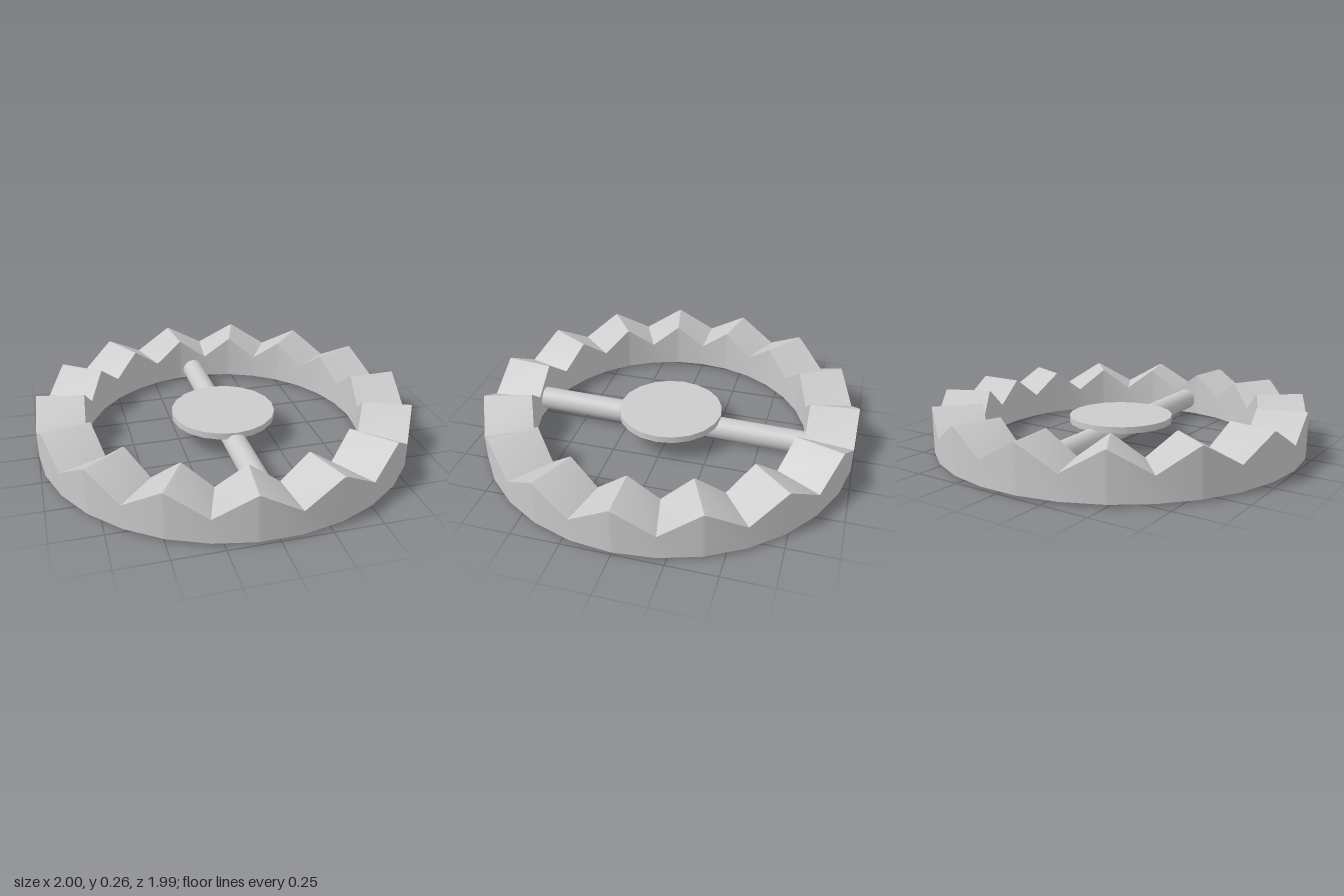
import * as THREE from 'three';
import { toCreasedNormals } from 'three/addons/utils/BufferGeometryUtils.js';

const TEETH = 15, OUTER = 1, INNER = 0.745, BASE = 0.013;

// Ring whose top edge rises and falls into wedge-shaped teeth
function toothedRingGeometry() {
  const pitch = (Math.PI * 2) / TEETH;
  // angle (fraction of a pitch) and height: slightly blunted peak, then valley
  const profile = [[0, 0.257], [0.03, 0.252], [0.5, 0.14], [0.97, 0.252]];
  const sections = [];
  for (let i = 0; i < TEETH; i++) {
    for (const [f, top] of profile) {
      const a = (i + f) * pitch;
      // keep blunted points on the straight side of the 30-sided outline
      const half = pitch / 2, local = (f % 0.5) * pitch;
      const k = Math.cos(half / 2) / Math.cos(local - half / 2);
      const at = (r, y) => [r * k * Math.cos(a), y, r * k * Math.sin(a)];
      sections.push([at(OUTER, BASE), at(OUTER, top), at(INNER, top), at(INNER, BASE)]);
    }
  }
  const positions = [];
  sections.forEach((s, i) => {
    const n = sections[(i + 1) % sections.length];
    for (let j = 0; j < 4; j++) {
      const k = (j + 1) % 4;
      positions.push(...s[j], ...s[k], ...n[k], ...s[j], ...n[k], ...n[j]);
    }
  });
  const geometry = new THREE.BufferGeometry();
  geometry.setAttribute('position', new THREE.Float32BufferAttribute(positions, 3));
  return toCreasedNormals(geometry, 0.35);
}

export function createModel() {
  const model = new THREE.Group();
  model.name = 'toothedTrap';
  const material = new THREE.MeshStandardMaterial({ color: 0xcccccc });
  const add = (name, geometry) => {
    const mesh = new THREE.Mesh(geometry, material);
    mesh.name = name;
    model.add(mesh);
    return mesh;
  };

  add('toothedRing', toothedRingGeometry());

  // Cross rod, dipping slightly toward the back
  const rod = add('crossRod', new THREE.CylinderGeometry(0.06, 0.06, 1.86, 20));
  rod.position.y = 0.08;
  rod.rotation.x = Math.PI / 2 - 0.021;

  // Round pressure plate at the centre
  const plate = add('pressurePlate', new THREE.CylinderGeometry(0.28, 0.28, 0.035, 20));
  plate.position.y = 0.138;

  return model;
}
